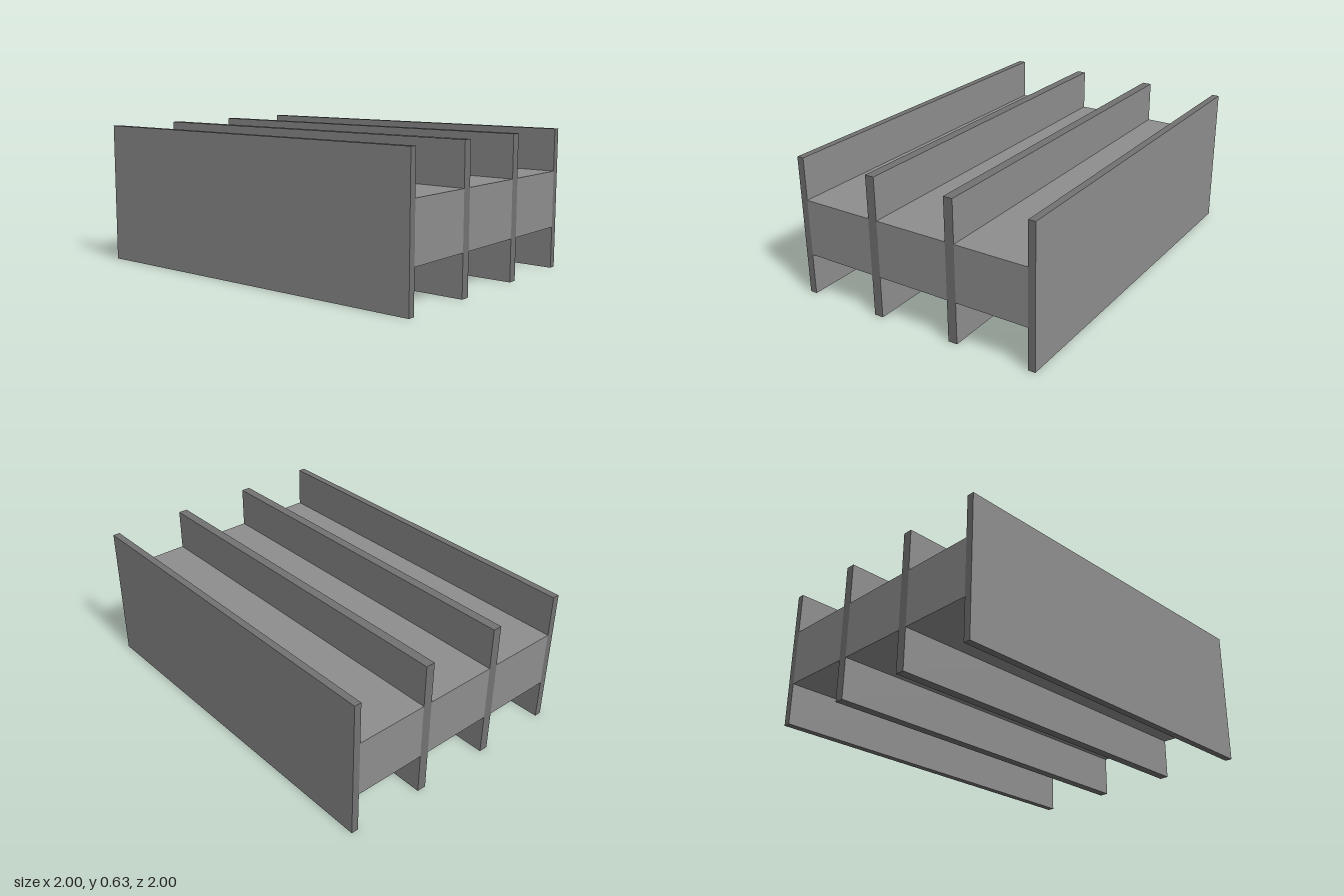
import * as THREE from 'three';

const LENGTH = 1.68, WIDTH = 1.15, HEIGHT = 0.63;
const DECK_BOTTOM = 0.187, DECK_TOP = 0.441;

export function createModel() {
  const model = new THREE.Group();
  const faceGrey = new THREE.MeshStandardMaterial({ color: 0x8e8e8e });
  const edgeGrey = new THREE.MeshStandardMaterial({ color: 0x727272 });

  // A full-length slab, given its height range and its range across the width
  function slab(name, y0, y1, z0, z1, material) {
    const mesh = new THREE.Mesh(new THREE.BoxGeometry(LENGTH, y1 - y0, z1 - z0), material);
    mesh.name = name;
    mesh.position.set(0, (y0 + y1) / 2, (z0 + z1) / 2);
    model.add(mesh);
  }

  // Upright plates: two thinner outer ones and two inner ones, with darker ends, tops and bottoms
  const half = WIDTH / 2, outer = 0.032, inner = 0.042, offset = 0.19;
  const plates = [
    [-half, -half + outer],
    [-offset - inner / 2, -offset + inner / 2],
    [offset - inner / 2, offset + inner / 2],
    [half - outer, half],
  ];
  const plateSides = [edgeGrey, edgeGrey, edgeGrey, edgeGrey, faceGrey, faceGrey];
  plates.forEach(([z0, z1], i) => slab(`uprightPlate${i + 1}`, 0, HEIGHT, z0, z1, plateSides));

  // Solid deck blocks filling the gaps between neighbouring plates
  for (let i = 0; i < plates.length - 1; i++) {
    slab(`deckBlock${i + 1}`, DECK_BOTTOM, DECK_TOP, plates[i][1], plates[i + 1][0], faceGrey);
  }

  // The whole body lies diagonally
  model.rotation.y = -Math.PI / 4;
  model.name = 'platedDeck';
  return model;
}
